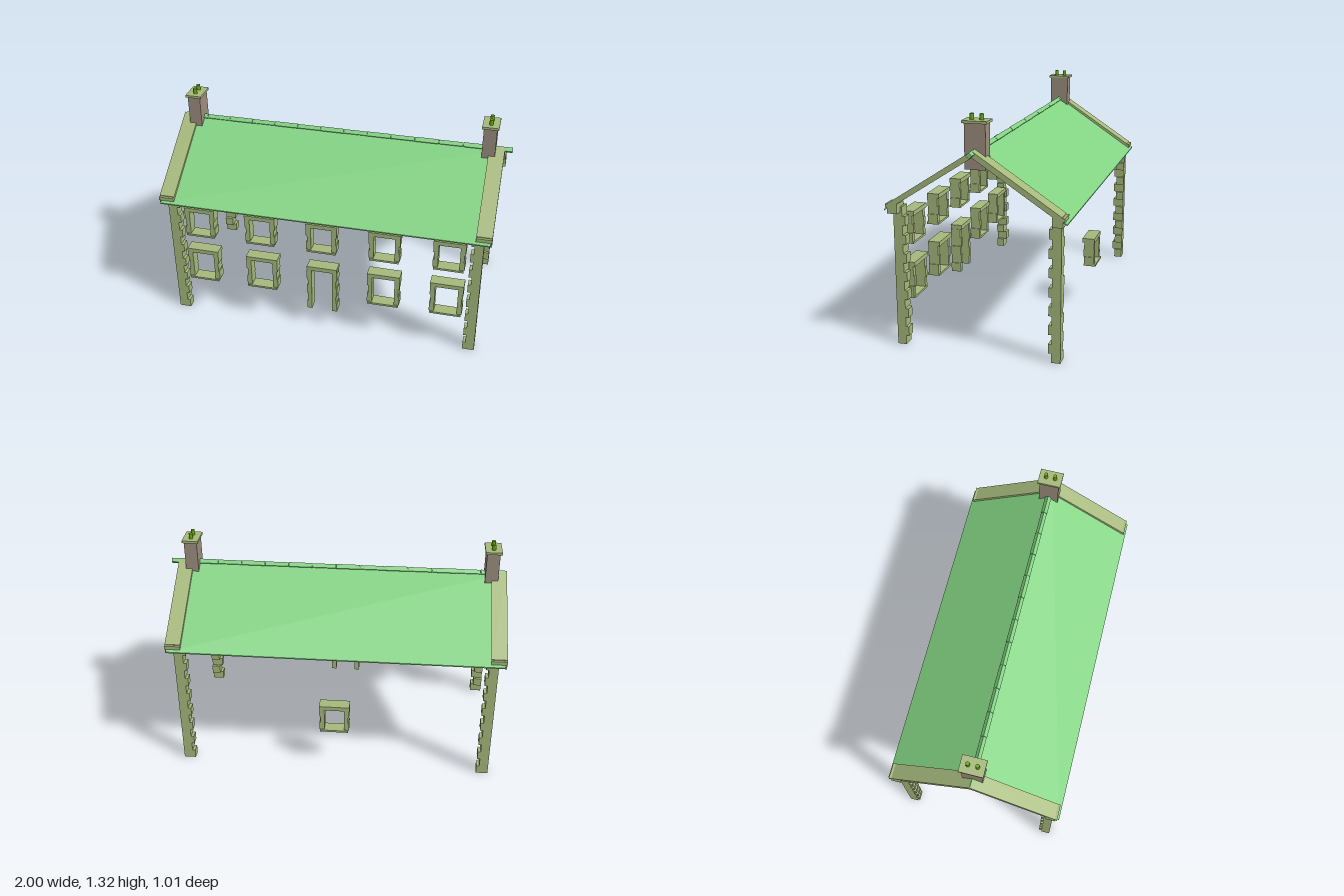
import * as THREE from 'three';

export function createModel() {
  const model = new THREE.Group();
  model.name = 'cottageShell';

  const mat = (name, color) => {
    const m = new THREE.MeshStandardMaterial({ color });
    m.name = name;
    return m;
  };
  const stone = mat('stone', 0xa6b97c);
  const roofGreen = mat('roofGreen', 0x82d282);
  const brick = mat('chimneyBrown', 0x9d8e7e);
  const potGreen = mat('potGreen', 0x66a80c);

  const CX = -0.0225; // house centre line

  const group = (name, parent = model) => {
    const g = new THREE.Group();
    g.name = name;
    parent.add(g);
    return g;
  };
  // Box given by its min and max on every axis
  const block = (parent, name, material, x0, x1, y0, y1, z0, z1) => {
    const mesh = new THREE.Mesh(new THREE.BoxGeometry(x1 - x0, y1 - y0, z1 - z0), material);
    mesh.position.set((x0 + x1) / 2, (y0 + y1) / 2, (z0 + z1) / 2);
    mesh.name = name;
    parent.add(mesh);
    return mesh;
  };
  // Inverted V profile running along x
  const chevron = (name, material, x0, x1, apex, halfZ, eave, thick) => {
    const s = new THREE.Shape();
    s.moveTo(0, apex);
    s.lineTo(halfZ, eave);
    s.lineTo(halfZ, eave - thick);
    s.lineTo(0, apex - thick);
    s.lineTo(-halfZ, eave - thick);
    s.lineTo(-halfZ, eave);
    s.closePath();
    const g = new THREE.ExtrudeGeometry(s, { depth: x1 - x0, bevelEnabled: false });
    g.rotateY(Math.PI / 2);
    g.translate(x0, 0, 0);
    const mesh = new THREE.Mesh(g, material);
    mesh.name = name;
    model.add(mesh);
  };

  // Roof slopes
  chevron('roof', roofGreen, -0.99, 0.948, 1.126, 0.505, 0.79, 0.007);

  // Ridge tiles, turned so an edge points up
  const ridge = group('ridgeTiles');
  const tiles = 14, tileLen = 1.99 / tiles;
  for (let i = 0; i < tiles; i++) {
    const r = i % 2 ? 0.0245 : 0.0265;
    const mesh = new THREE.Mesh(new THREE.BoxGeometry(tileLen - 0.002, r, r), roofGreen);
    mesh.rotation.x = Math.PI / 4;
    mesh.position.set(-0.99 + (i + 0.5) * tileLen, 1.125, 0);
    mesh.name = 'ridgeTile';
    ridge.add(mesh);
  }

  // Both gable ends: coping, kneelers, chimney and corner columns
  for (const side of [-1, 1]) {
    const c = CX + side * 0.9325;
    chevron('gableCoping', stone, c - 0.045, c + 0.045, 1.141, 0.48, 0.827, 0.036);

    for (const f of [-1, 1]) {
      const kneeler = group('kneeler');
      const zs = (a, b) => (f > 0 ? [a, b] : [-b, -a]);
      block(kneeler, 'kneelerBase', stone, c - 0.045, c + 0.045, 0.77, 0.802, ...zs(0.428, 0.485));
      block(kneeler, 'kneelerTop', stone, c - 0.045, c + 0.045, 0.802, 0.823, ...zs(0.428, 0.495));

      // Quoins alternate their long side between the two walls
      const column = group('cornerColumn');
      const h = 0.8 / 15;
      const outer = CX + side * 0.935;
      for (let i = 0; i < 15; i++) {
        const lx = i % 2 ? 0.053 : 0.07;
        const lz = i % 2 ? 0.068 : 0.05;
        const xa = side > 0 ? outer - lx : outer;
        block(column, 'quoin', stone, xa, xa + lx, i * h, (i + 1) * h, ...zs(0.468 - lz, 0.468));
      }
    }

    const chimney = group('chimney');
    const k = CX + side * 0.8875;
    block(chimney, 'chimneyStack', brick, k - 0.038, k + 0.038, 1.03, 1.277, -0.058, 0.058);
    block(chimney, 'chimneyCap', stone, k - 0.048, k + 0.048, 1.275, 1.289, -0.069, 0.069);
    for (const z of [-0.027, 0.027]) {
      const pot = new THREE.Mesh(new THREE.CylinderGeometry(0.011, 0.012, 0.034, 16), potGreen);
      pot.position.set(k, 1.304, z);
      pot.name = 'chimneyPot';
      chimney.add(pot);
    }
  }

  // Stone jambs made of blocks with alternating widths
  const jambs = (parent, x, y0, y1, half, count) => {
    const h = (y1 - y0) / count;
    for (const s of [-1, 1]) {
      for (let i = 0; i < count; i++) {
        const w = i % 2 ? 0.024 : 0.03;
        const edge = x + s * (half - (i % 2 ? 0.006 : 0));
        const xa = s > 0 ? edge - w : edge;
        block(parent, 'jambBlock', stone, xa, xa + w, y0 + i * h, y0 + (i + 1) * h,
          i % 2 ? 0.398 : 0.403, 0.465);
      }
    }
  };
  const windowFrame = (x, y0, y1, w, count) => {
    const g = group('windowFrame');
    const half = w / 2;
    block(g, 'lintel', stone, x - half, x + half, y1 - 0.026, y1, 0.392, 0.466);
    block(g, 'sill', stone, x - half + 0.006, x + half - 0.006, y0, y0 + 0.012, 0.4, 0.474);
    jambs(g, x, y0 + 0.012, y1 - 0.026, half - 0.001, count);
    return g;
  };

  // Front windows: five above, four below beside the door
  for (let i = -2; i <= 2; i++) {
    const x = CX + i * 0.3735;
    windowFrame(x, 0.56, 0.75, 0.186, 3);
    if (i !== 0) windowFrame(x, 0.24, 0.456, 0.196, 3);
  }

  // Door surround
  const door = group('doorFrame');
  block(door, 'doorLintel', stone, CX - 0.091, CX + 0.091, 0.419, 0.446, 0.392, 0.466);
  jambs(door, CX, 0.135, 0.419, 0.093, 5);

  // Single window in the back wall
  const back = windowFrame(-CX, 0.255, 0.432, 0.18, 3);
  back.name = 'backWindowFrame';
  back.rotation.y = Math.PI;

  return model;
}
